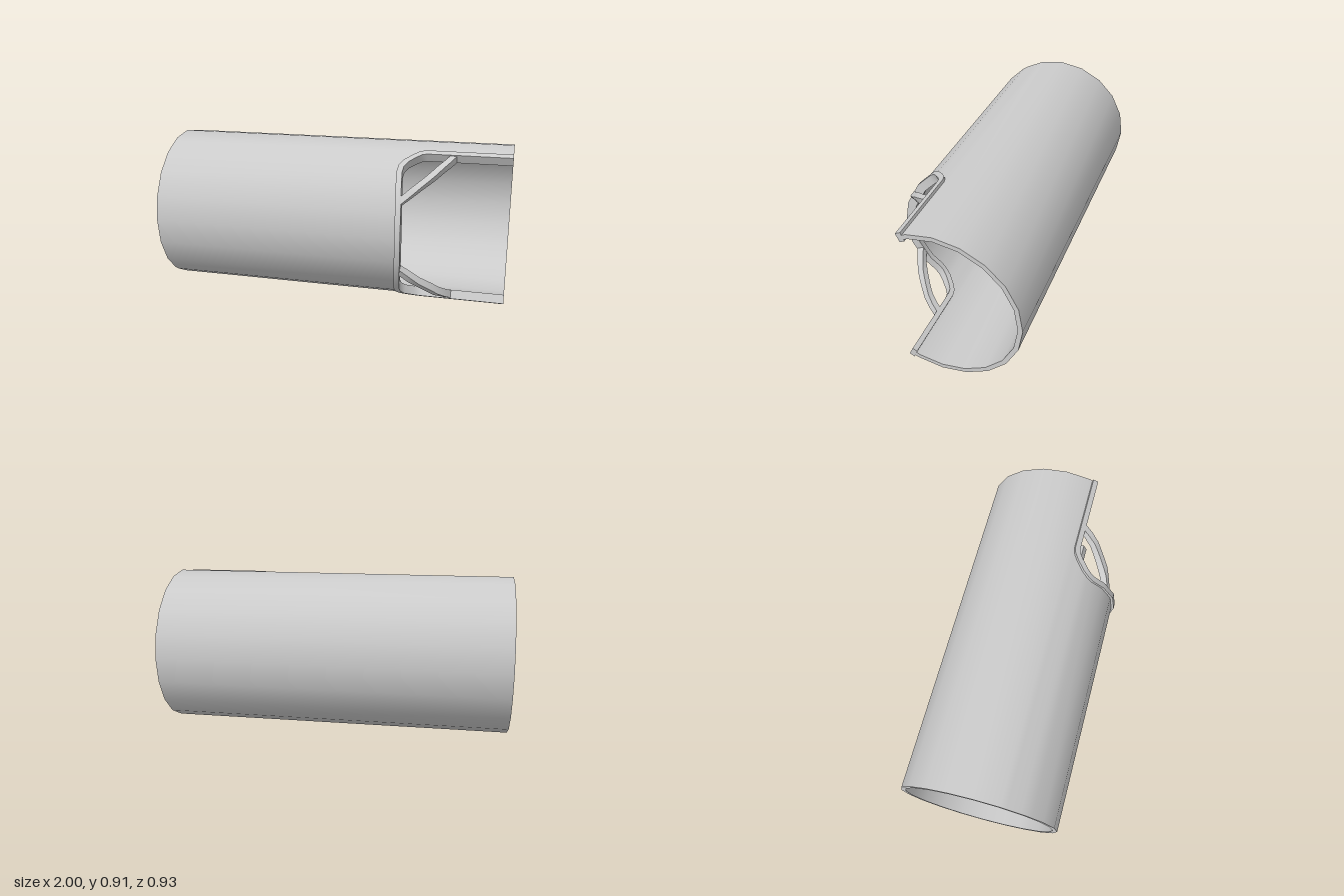
import * as THREE from 'three';
import { toCreasedNormals } from 'three/addons/utils/BufferGeometryUtils.js';

const CY = 0.458, CZ = -0.007, STEP = 18; // tube axis and facet angle (20 sides)
const rad = THREE.MathUtils.degToRad;

// Point at x, angle (0 = front, 90 = top) on a 20-sided tube of corner radius r
function onTube(x, deg, r) {
  const d = ((deg % STEP) + STEP) % STEP;
  const q = r * Math.cos(rad(STEP / 2)) / Math.cos(rad(d - STEP / 2));
  return [x, CY + q * Math.sin(rad(deg)), CZ + q * Math.cos(rad(deg))];
}

// Skin a list of four-cornered sections, joined end to end or capped
function loft(sections, closed) {
  const pos = [];
  const quad = (a, b, c, d) => pos.push(...a, ...b, ...c, ...a, ...c, ...d);
  const n = sections.length;
  for (let i = 0; i < (closed ? n : n - 1); i++) {
    const s = sections[i], t = sections[(i + 1) % n];
    for (let k = 0; k < 4; k++) quad(s[k], s[(k + 1) % 4], t[(k + 1) % 4], t[k]);
  }
  if (!closed) {
    const [a, b, c, d] = sections[0];
    quad(d, c, b, a);
    quad(...sections[n - 1]);
  }
  const g = new THREE.BufferGeometry();
  g.setAttribute('position', new THREE.Float32BufferAttribute(pos, 3));
  return toCreasedNormals(g, rad(32));
}

// Rectangular bar following [x, angle] points over the tube surface
function bar(path, width, rIn, rOut) {
  const r = (rIn + rOut) / 2;
  const flat = path.map(([x, a]) => new THREE.Vector2(x, rad(a) * r));
  const sections = flat.map((p, i) => {
    const before = p.clone().sub(flat[Math.max(i - 1, 0)]).normalize();
    const after = flat[Math.min(i + 1, flat.length - 1)].clone().sub(p).normalize();
    const t = before.clone().add(after).normalize();
    const inner = i > 0 && i < flat.length - 1;
    const w = width / 2 / (inner ? Math.max(0.5, t.dot(after)) : 1);
    const side = (s, radius) =>
      onTube(p.x - t.y * w * s, THREE.MathUtils.radToDeg((p.y + t.x * w * s) / r), radius);
    return [side(1, rOut), side(-1, rOut), side(-1, rIn), side(1, rIn)];
  });
  return loft(sections, false);
}

// Upper half of the opening's edge, from front centre to the open end
const EDGE = [[0.425, 0], [0.422, 18], [0.411, 36], [0.403, 47], [0.408, 52],
  [0.43, 57], [0.475, 63], [0.505, 66], [0.535, 67]];
const mirrorPath = (path) => path.map(([x, a]) => [x, -a]).reverse();

export function createModel() {
  const group = new THREE.Group();
  const material = new THREE.MeshStandardMaterial({ color: 0xcccccc });
  const add = (name, geometry) => {
    const mesh = new THREE.Mesh(geometry, material);
    mesh.name = name;
    group.add(mesh);
  };

  // Tube wall: short behind the opening, full length round the back
  const rim = [...mirrorPath(EDGE), ...EDGE.slice(1), [1, 67]];
  for (let a = 72; a <= 288; a += STEP) rim.push([1, a]);
  rim.push([1, 293]);
  add('tubeWall', loft(rim.map(([x, a]) => [
    onTube(-1, a, 0.456), onTube(x, a, 0.456), onTube(x, a, 0.43), onTube(-1, a, 0.43),
  ]), true));

  // Raised frame round the opening
  const half = [...EDGE, [1, 67]];
  add('openingFrame', bar([...mirrorPath(half), ...half.slice(1)], 0.031, 0.42, 0.472));

  // Diagonal braces across the two corners
  const brace = [];
  for (let i = 0; i <= 8; i++) {
    const y = THREE.MathUtils.lerp(0.655, 0.873, i / 8);
    const x = THREE.MathUtils.lerp(0.422, 0.69, i / 8);
    brace.push([x, THREE.MathUtils.radToDeg(Math.asin((y - CY) / 0.45))]);
  }
  add('upperBrace', bar(brace, 0.034, 0.422, 0.466));
  add('lowerBrace', bar(mirrorPath(brace), 0.034, 0.422, 0.466));

  return group;
}
